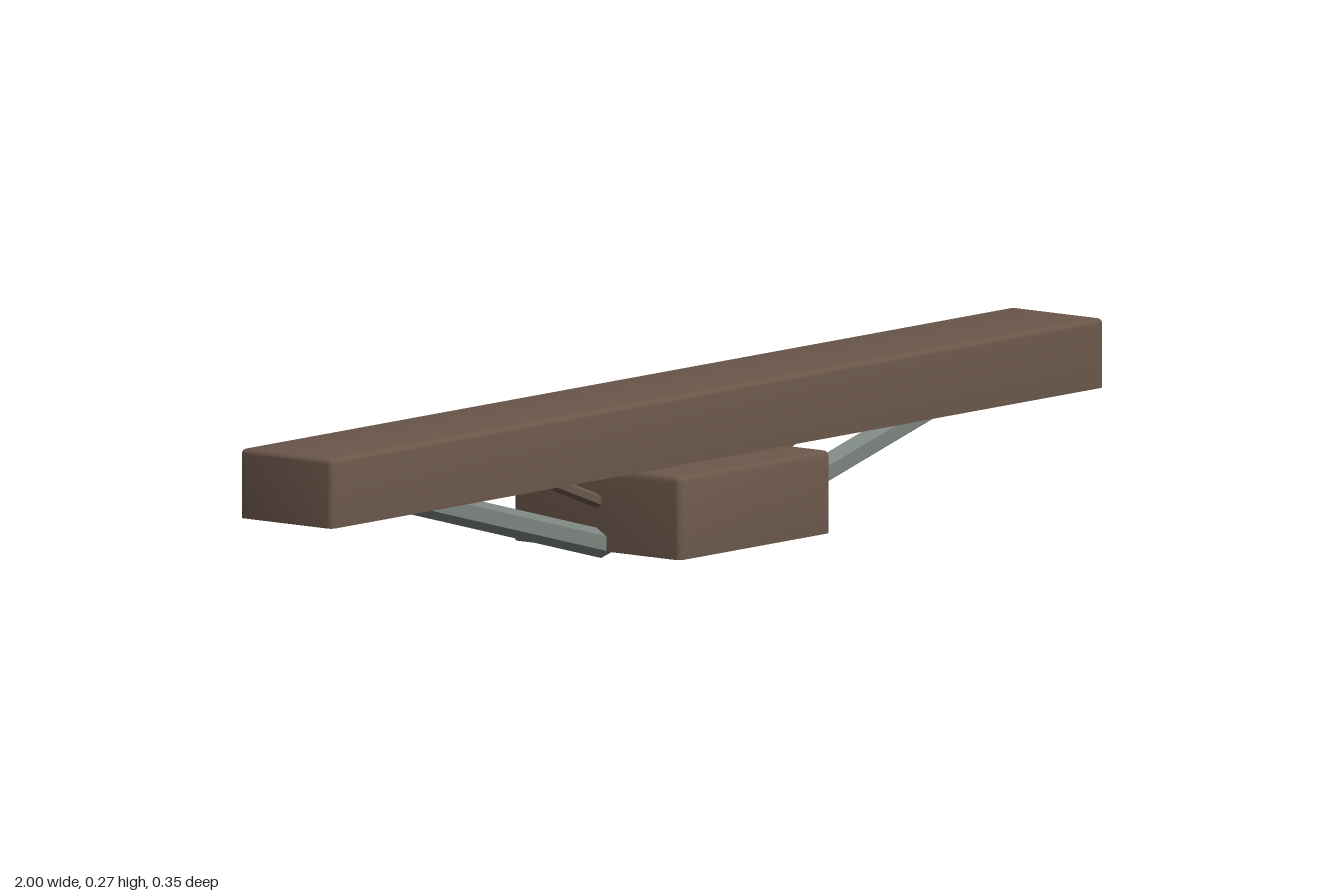
import * as THREE from 'three';
import { RoundedBoxGeometry } from 'three/addons/geometries/RoundedBoxGeometry.js';
import { toCreasedNormals } from 'three/addons/utils/BufferGeometryUtils.js';

const wood = new THREE.MeshStandardMaterial({ color: 0x6b574a });
wood.name = 'brown wood';
const steel = new THREE.MeshStandardMaterial({ color: 0x7c847f });
steel.name = 'grey steel';

// Box with rounded top and upright edges, and a flat, sharp-edged underside
function timber(name, width, depth, bottom, top) {
  const r = 0.009;
  const geo = new RoundedBoxGeometry(width, top - bottom + r, depth, 2, r);
  geo.translate(0, (top + bottom - r) / 2, 0);
  const p = geo.attributes.position;
  for (let i = 0; i < p.count; i++) p.setY(i, Math.max(p.getY(i), bottom));
  const mesh = new THREE.Mesh(toCreasedNormals(geo, 0.6), wood);
  mesh.name = name;
  return mesh;
}

// Hexagonal rod between two points, with one ridge pointing down
function rod(name, x0, y0, x1, y1, radius, material) {
  const from = new THREE.Vector3(x0, y0, 0);
  const to = new THREE.Vector3(x1, y1, 0);
  const geo = new THREE.CylinderGeometry(radius, radius, from.distanceTo(to), 6).toNonIndexed();
  geo.rotateY(Math.PI / 2); // ridges in the upright plane
  geo.computeVertexNormals();
  const mesh = new THREE.Mesh(geo, material);
  mesh.name = name;
  mesh.position.copy(from).add(to).multiplyScalar(0.5);
  mesh.rotation.z = Math.atan2(y1 - y0, x1 - x0) - Math.PI / 2;
  return mesh;
}

export function createModel() {
  const model = new THREE.Group();
  model.name = 'bracedBeam';
  model.add(timber('beam', 2, 0.195, 0.153, 0.268));
  model.add(timber('supportBlock', 0.39, 0.352, 0.014, 0.151));

  // Braces on both sides of the block, running up into the beam
  for (const [side, s] of [['left', 1], ['right', -1]]) {
    model.add(rod(side + 'LongBrace', s * 0.178, 0.0228, s * 0.8, 0.187, 0.0235, steel));
    model.add(rod(side + 'ShortBrace', s * 0.18, 0.091, s * 0.40, 0.172, 0.0115, wood));
  }
  return model;
}
